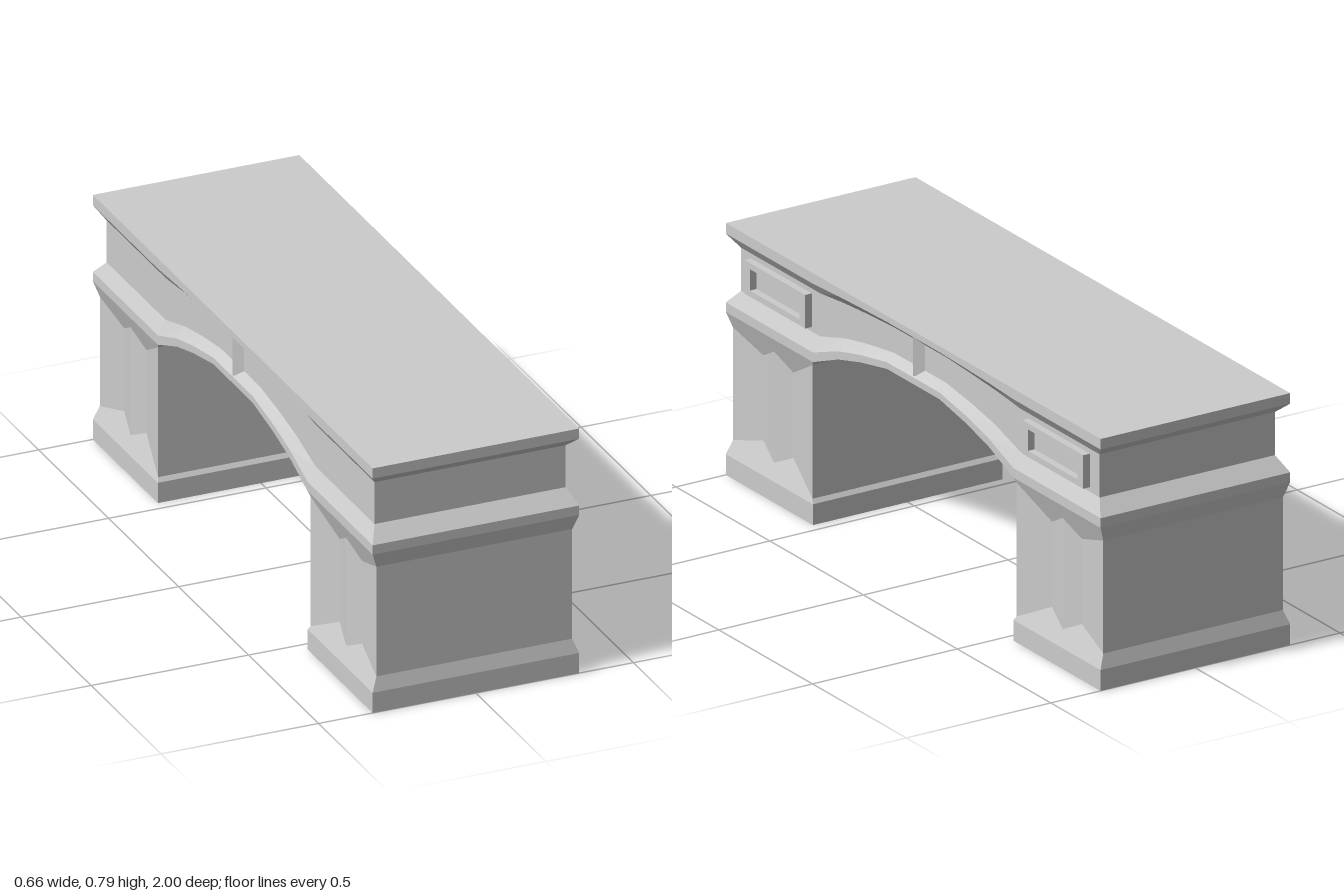
import * as THREE from 'three';

const material = new THREE.MeshStandardMaterial({ color: 0xcccccc, flatShading: true });
const W = 0.328; // half width

// Lofts rows of [x, y, z] stations (front to back on the +x side), mirrored to -x, with both ends capped.
function loft(rows) {
  const n = rows[0].length;
  const loops = rows.map((row) => [
    ...row,
    ...[...row].reverse().map(([x, y, z]) => [-x, y, z]),
  ]);
  const pos = [];
  const quad = (a, b, c, d) => pos.push(...a, ...b, ...c, ...a, ...c, ...d);
  for (let k = 0; k < loops.length - 1; k++) {
    for (let i = 0; i < 2 * n; i++) {
      const j = (i + 1) % (2 * n);
      quad(loops[k][i], loops[k][j], loops[k + 1][j], loops[k + 1][i]);
    }
  }
  const bottom = loops[0], top = loops[loops.length - 1], m = 2 * n - 1;
  for (let i = 0; i < n - 1; i++) {
    quad(top[i], top[i + 1], top[m - i - 1], top[m - i]);
    quad(bottom[m - i], bottom[m - i - 1], bottom[i + 1], bottom[i]);
  }
  const geometry = new THREE.BufferGeometry();
  geometry.setAttribute('position', new THREE.Float32BufferAttribute(pos, 3));
  geometry.computeVertexNormals();
  return geometry;
}

// Arched deck: each row is base height, rise at the crown, side inset, end inset
function deckGeometry() {
  const half = [[1, 0], [0.535, 0], [0.4, 0.48], [0.28, 0.76], [0.14, 1]]; // z, share of the rise
  const stations = [...half, ...[...half].reverse().map(([z, f]) => [-z, f])];
  const profile = [
    [0.51, 0.112, 0, 0],
    [0.54, 0.103, 0, 0],
    [0.585, 0.082, 0.025, 0.043],
    [0.72, 0.027, 0.025, 0.043],
    [0.755, 0.014, 0, 0],
    [0.788, 0, 0, 0],
  ];
  return loft(profile.map(([y, rise, inset, endInset]) =>
    stations.map(([z, f]) => [
      W - inset, y + rise * f, Math.abs(z) === 1 ? z * (1 - endInset) : z,
    ])));
}

// Pier with plinth, flared cap and two shallow flutes on each side
function pierGeometry() {
  // plinth z, shaft z, inset of the shaft
  const stations = [
    [1, 0.988, 0.017], [0.85, 0.85, 0.033], [0.77, 0.77, 0.018],
    [0.69, 0.69, 0.033], [0.535, 0.545, 0.005],
  ];
  const outer = (y) => stations.map(([z]) => [W, y, z]);
  const shaft = (base, slope) => stations.map(([, z, d]) => [W - d, base + slope * d, z]);
  return loft([
    outer(0), outer(0.065), shaft(0.065, 2.6), shaft(0.51, -2.8), outer(0.51),
  ]);
}

function rectangle(Type, w, h) {
  const r = new Type();
  r.moveTo(-w / 2, -h / 2);
  r.lineTo(w / 2, -h / 2);
  r.lineTo(w / 2, h / 2);
  r.lineTo(-w / 2, h / 2);
  r.closePath();
  return r;
}

export function createModel() {
  const group = new THREE.Group();
  const add = (name, geometry) => {
    const mesh = new THREE.Mesh(geometry, material);
    mesh.name = name;
    group.add(mesh);
    return mesh;
  };

  add('archedDeck', deckGeometry());

  const pier = pierGeometry();
  add('frontPier', pier);
  add('backPier', pier).rotation.y = Math.PI;

  // Raised frames on the left face only
  const frameShape = rectangle(THREE.Shape, 0.325, 0.105);
  frameShape.holes.push(rectangle(THREE.Path, 0.265, 0.067));
  const frame = new THREE.ExtrudeGeometry(frameShape, { depth: 0.026, bevelEnabled: false });
  frame.rotateY(Math.PI / 2);
  for (const s of [1, -1]) {
    add(s > 0 ? 'frontPanelFrame' : 'backPanelFrame', frame).position.set(0.3, 0.652, s * 0.742);
  }

  // Wedge keystones at the crown of both faces
  const keystone = new THREE.CylinderGeometry(0.03, 0.03, 0.125, 4);
  for (const s of [1, -1]) {
    add(s > 0 ? 'leftKeystone' : 'rightKeystone', keystone).position.set(s * 0.298, 0.71, 0);
  }
  return group;
}
